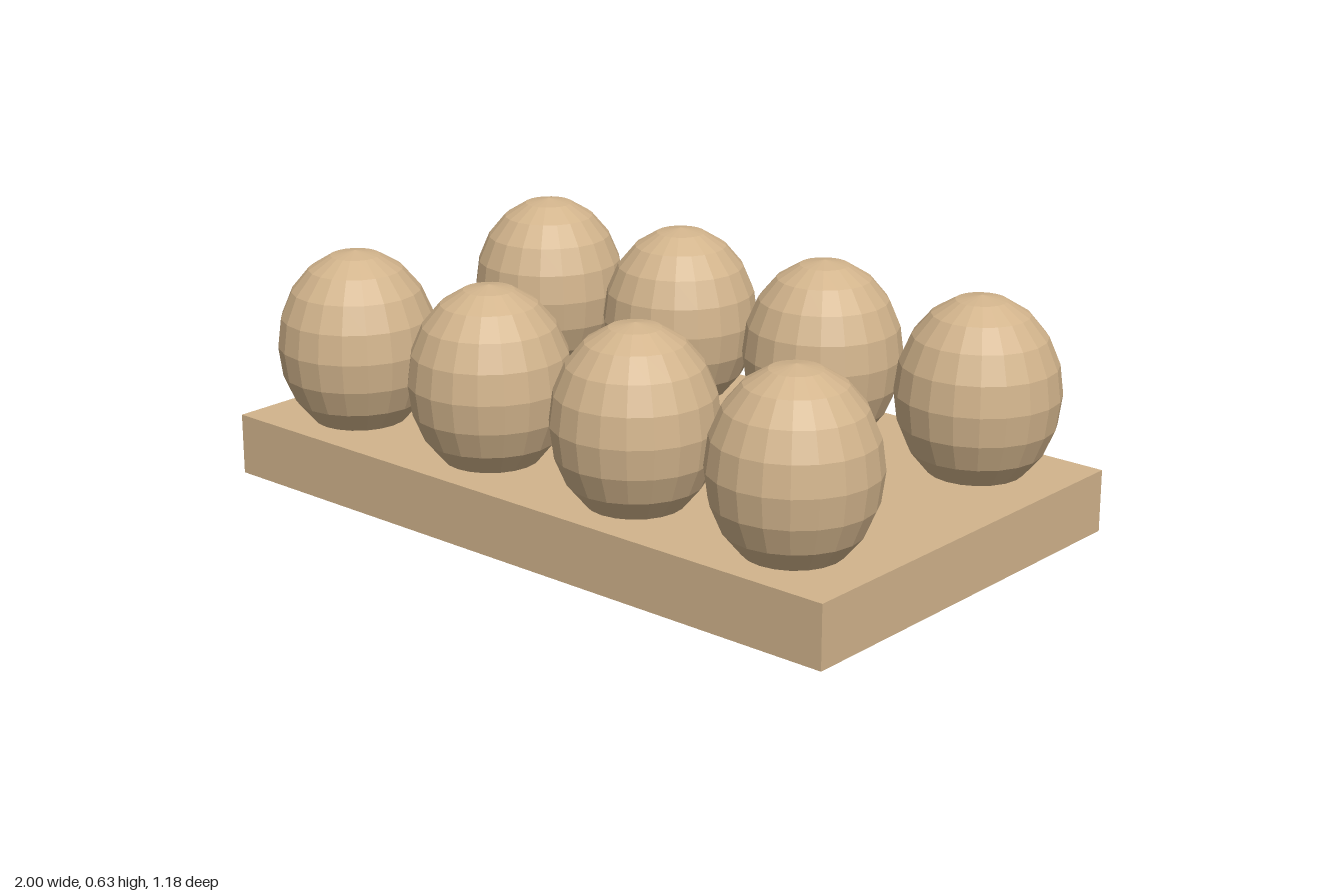
import * as THREE from 'three';

export function createModel() {
  const group = new THREE.Group();
  const material = new THREE.MeshStandardMaterial({ color: 0xd2b48c, flatShading: true });

  // Flat rectangular tray
  const base = new THREE.Mesh(new THREE.BoxGeometry(2, 0.167, 1.167), material);
  base.name = 'trayBase';
  base.position.y = 0.0835;
  group.add(base);

  // Two rows of four faceted eggs, sunk slightly into the tray
  const eggGeometry = new THREE.SphereGeometry(0.215, 20, 10);
  eggGeometry.scale(1, 1.2, 1);
  for (const z of [-0.375, 0.375]) {
    for (const x of [-0.75, -0.25, 0.25, 0.75]) {
      const egg = new THREE.Mesh(eggGeometry, material);
      egg.name = 'egg';
      egg.position.set(x, 0.376, z);
      group.add(egg);
    }
  }
  return group;
}
